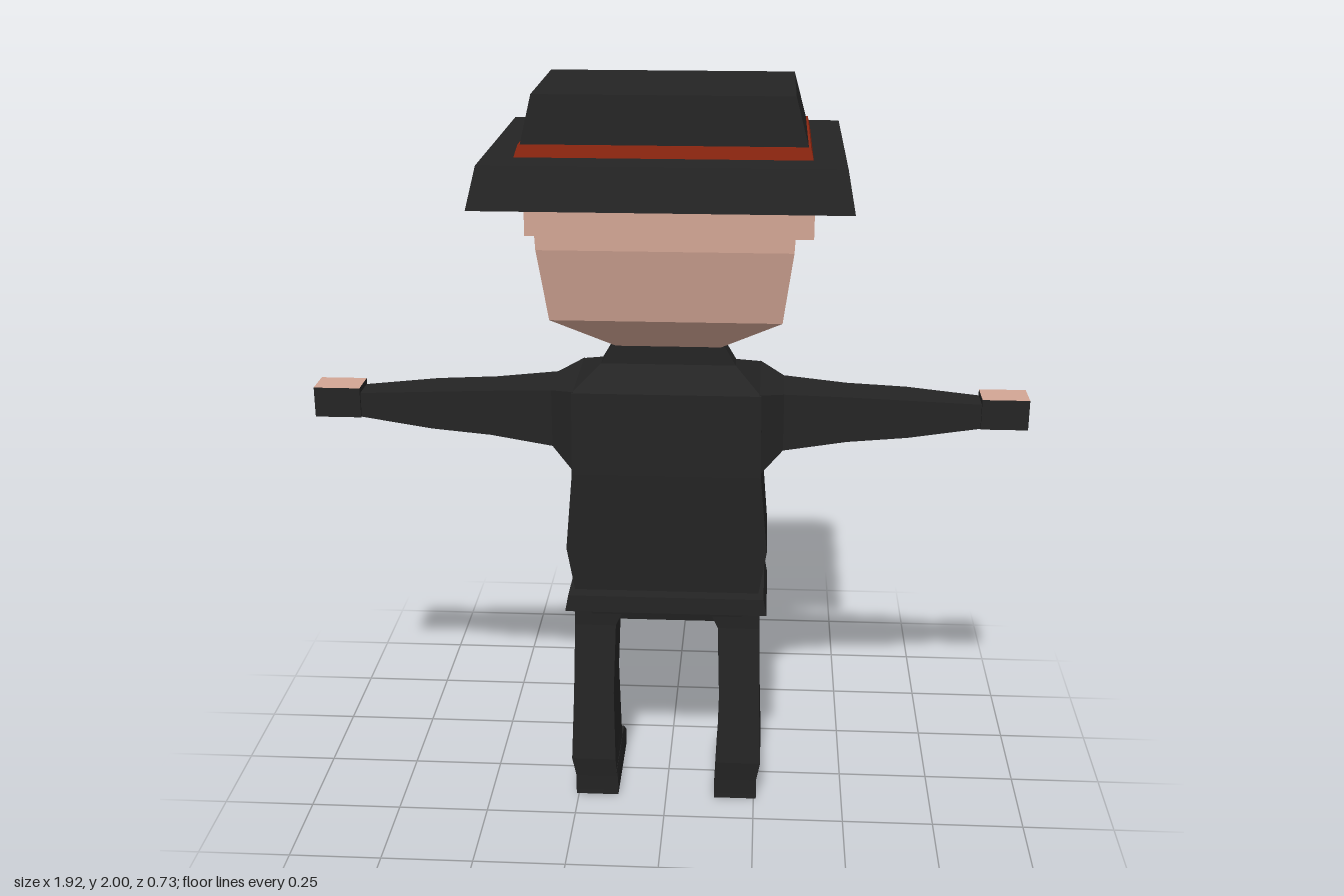
import * as THREE from 'three';

const mat = (name, color) => Object.assign(new THREE.MeshStandardMaterial({ color, flatShading: true }), { name });

// Rectangular loft. Rows are [height, uMin, uMax, vMin, vMax].
// Upright lofts use u = x, v = z; sideways ones run along x with u = z, v = y turned into place.
function loft(rows, along = 'y', mirror = false) {
  const pos = [], index = [];
  for (const [h, u0, u1, v0, v1] of rows) {
    for (const [u, v] of [[u0, v1], [u1, v1], [u1, v0], [u0, v0]]) {
      if (along === 'y') pos.push(u, h, v);
      else pos.push(mirror ? -h : h, v, u);
    }
  }
  const quad = (a, b, c, d) => (mirror ? index.push(a, c, b, a, d, c) : index.push(a, b, c, a, c, d));
  for (let r = 0; r < rows.length - 1; r++) {
    for (let i = 0; i < 4; i++) {
      const a = r * 4 + i, b = r * 4 + (i + 1) % 4;
      quad(a, b, b + 4, a + 4);
    }
  }
  const t = (rows.length - 1) * 4;
  quad(3, 2, 1, 0);
  quad(t, t + 1, t + 2, t + 3);
  const indexed = new THREE.BufferGeometry();
  indexed.setAttribute('position', new THREE.Float32BufferAttribute(pos, 3));
  indexed.setIndex(index);
  const g = indexed.toNonIndexed();
  g.computeVertexNormals();
  return g;
}

export function createModel() {
  const model = new THREE.Group();
  model.name = 'figure';
  const black = mat('black cloth', 0x242424);
  const skin = mat('skin', 0xd2a594);
  const red = mat('dark red', 0x8c2610);

  const add = (name, geometry, material) => {
    const m = new THREE.Mesh(geometry, material);
    m.name = name;
    model.add(m);
    return m;
  };
  const box = (name, x0, x1, y0, y1, z0, z1, material) => {
    const m = add(name, new THREE.BoxGeometry(x1 - x0, y1 - y0, z1 - z0), material);
    m.position.set((x0 + x1) / 2, (y0 + y1) / 2, (z0 + z1) / 2);
    return m;
  };

  // Hat
  add('hatBrim', loft([
    [1.745, -0.47, 0.465, -0.365, 0.365],
    [1.85, -0.445, 0.445, -0.34, 0.34],
  ]), black);
  add('hatBand', loft([
    [1.85, -0.368, 0.365, -0.233, 0.233],
    [1.88, -0.358, 0.358, -0.226, 0.226],
  ]), red);
  add('hatCrown', loft([
    [1.875, -0.354, 0.354, -0.222, 0.222],
    [2.0, -0.325, 0.32, -0.205, 0.21],
  ]), black);

  // Head
  add('head', loft([
    [1.31, -0.14, 0.14, -0.03, 0.03],
    [1.415, -0.3, 0.3, -0.163, 0.157],
    [1.61, -0.325, 0.325, -0.2, 0.2],
    [1.8, -0.335, 0.335, -0.2, 0.2],
  ]), skin);

  // Mouth block with a red front
  const mouth = box('mouth', -0.1, 0.1, 1.478, 1.53, -0.22, -0.165, [skin, skin, skin, skin, skin, red]);
  mouth.rotation.x = -0.15;

  // Torso, hem and pelvis
  add('torso', loft([
    [0.62, -0.25, 0.25, -0.105, 0.12],
    [0.76, -0.273, 0.273, -0.112, 0.127],
    [0.98, -0.253, 0.253, -0.168, 0.137],
    [1.21, -0.25, 0.25, -0.17, 0.137],
    [1.26, -0.18, 0.18, -0.03, 0.03],
    [1.325, -0.142, 0.142, -0.028, 0.028],
  ]), black);
  add('jacketHem', loft([
    [0.587, -0.276, 0.276, -0.133, 0.162],
    [0.635, -0.267, 0.267, -0.133, 0.162],
  ]), black);
  add('pelvis', loft([
    [0.54, -0.19, 0.19, -0.09, 0.105],
    [0.6, -0.25, 0.25, -0.105, 0.12],
  ]), black);

  for (const side of [1, -1]) {
    const label = side > 0 ? 'left' : 'right';
    // Turns outward distances into an ordered x range for this side
    const span = (a, b) => (side > 0 ? [a, b] : [-b, -a]);
    const sideBox = (name, a, b, ...rest) => box(label + name, ...span(a, b), ...rest);

    // Arm, from shoulder to cuff
    add(label + 'Arm', loft([
      [0.245, -0.168, 0.136, 0.985, 1.213],
      [0.31, -0.085, 0.08, 1.04, 1.198],
      [0.48, -0.066, 0.058, 1.06, 1.186],
      [0.64, -0.06, 0.058, 1.075, 1.18],
      [0.84, -0.034, 0.042, 1.1, 1.167],
    ], 'x', side < 0), black);

    // Hand, bare on top and on the -z side only
    sideBox('Hand', 0.835, 0.96, 1.1, 1.183, -0.04, 0.05, [black, black, skin, black, black, skin]);

    // Leg and foot
    const row = (y, a, b, z0, z1) => [y, ...span(a, b), z0, z1];
    add(label + 'Leg', loft([
      row(0.06, 0.14, 0.256, -0.045, 0.15),
      row(0.12, 0.143, 0.267, -0.05, 0.156),
      row(0.32, 0.148, 0.26, -0.043, 0.133),
      row(0.52, 0.142, 0.256, -0.07, 0.108),
      row(0.59, 0.11, 0.256, -0.1, 0.11),
    ]), black);
    add(label + 'Foot', loft([
      row(0, 0.137, 0.257, -0.13, 0.147),
      row(0.015, 0.137, 0.257, -0.142, 0.147),
      row(0.047, 0.137, 0.257, -0.142, 0.148),
      row(0.082, 0.14, 0.256, -0.1, 0.15),
    ]), black);

    // Ear and glasses
    sideBox('Ear', 0.31, 0.378, 1.602, 1.7, -0.016, 0.02, skin);
    sideBox('Lens', 0.03, 0.32, 1.58, 1.718, -0.229, -0.192, black);
    const temple = sideBox('GlassesArm', 0.312, 0.338, 1.637, 1.659, -0.215, -0.03, black);
    temple.rotation.x = 0.06;
  }
  box('glassesBridge', -0.04, 0.04, 1.685, 1.71, -0.222, -0.198, black);

  return model;
}
